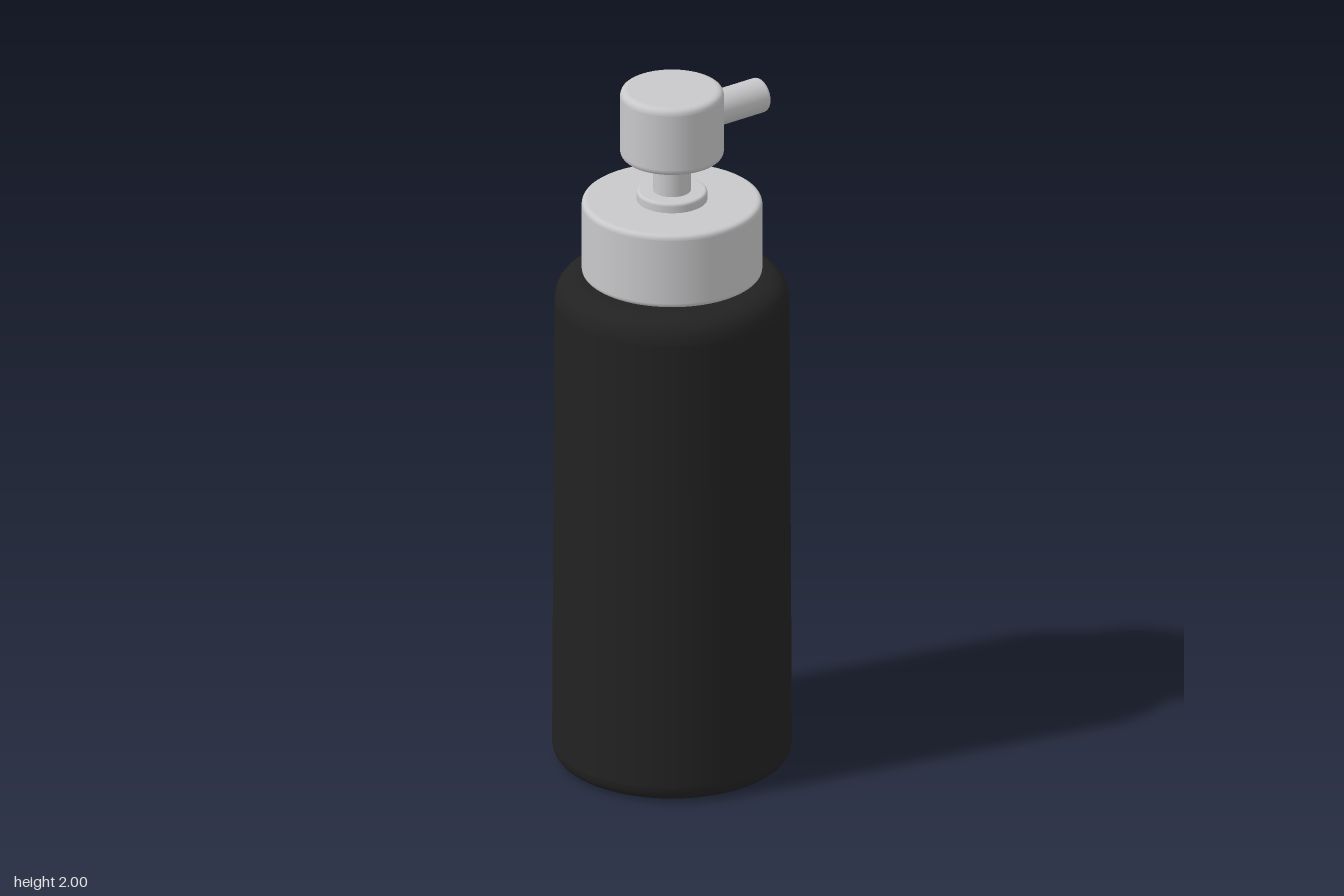
import * as THREE from 'three';

// Profile from corners [radius, y, fillet]; each filleted corner becomes a smooth arc.
function roundedProfile(corners) {
  const points = [];
  corners.forEach(([r, y, fillet = 0], i) => {
    const corner = new THREE.Vector2(r, y);
    if (!fillet) {
      points.push(corner);
      return;
    }
    const toward = (j) => new THREE.Vector2(corners[j][0], corners[j][1]).sub(corner).normalize();
    const before = toward(i - 1);
    const after = toward(i + 1);
    const at = (dir, d) => corner.clone().addScaledVector(dir, d);
    // guard points keep the neighbouring flats evenly shaded
    points.push(at(before, fillet * 1.1));
    const arc = new THREE.QuadraticBezierCurve(at(before, fillet), at(before, fillet * 0.17).lerp(at(after, fillet * 0.17), 0.5), at(after, fillet));
    points.push(...arc.getPoints(6));
    points.push(at(after, fillet * 1.1));
  });
  return points;
}

function turned(name, corners, material, segments = 64) {
  const mesh = new THREE.Mesh(new THREE.LatheGeometry(roundedProfile(corners), segments), material);
  mesh.name = name;
  return mesh;
}

export function createModel() {
  const black = new THREE.MeshStandardMaterial({ name: 'matte black', color: 0x222222 });
  const silver = new THREE.MeshStandardMaterial({ name: 'light grey', color: 0xc8c8ca });
  const model = new THREE.Group();
  model.name = 'pumpBottle';

  // Slightly tapered bottle with a short neck
  model.add(turned('bottle', [
    [0, 0], [0.328, 0, 0.045], [0.321, 1.44, 0.065], [0.2, 1.44],
  ], black, 96));
  model.add(turned('neck', [[0.205, 1.43], [0.205, 1.46]], black));

  // Screw collar and the small ring on it
  model.add(turned('collar', [
    [0, 1.452], [0.247, 1.452, 0.012], [0.247, 1.67, 0.014], [0, 1.67],
  ], silver, 96));
  model.add(turned('collarRing', [
    [0.05, 1.66], [0.097, 1.66, 0.004], [0.097, 1.698, 0.008], [0.04, 1.698],
  ], silver));

  // Plunger stem and press head
  model.add(turned('stem', [[0.052, 1.68], [0.052, 1.82]], silver, 48));
  model.add(turned('pumpHead', [
    [0, 1.8], [0.142, 1.8, 0.016], [0.142, 2, 0.018], [0, 2],
  ], silver));

  // Spout pointing to the left, with a bored tip
  const spout = turned('spout', [
    [0.049, 0.1], [0.049, 0.305, 0.01], [0.026, 0.305, 0.003], [0.026, 0.25, 0.003], [0, 0.25],
  ], silver, 40);
  spout.rotation.z = -Math.PI / 2;
  spout.position.y = 1.9;
  model.add(spout);

  return model;
}
